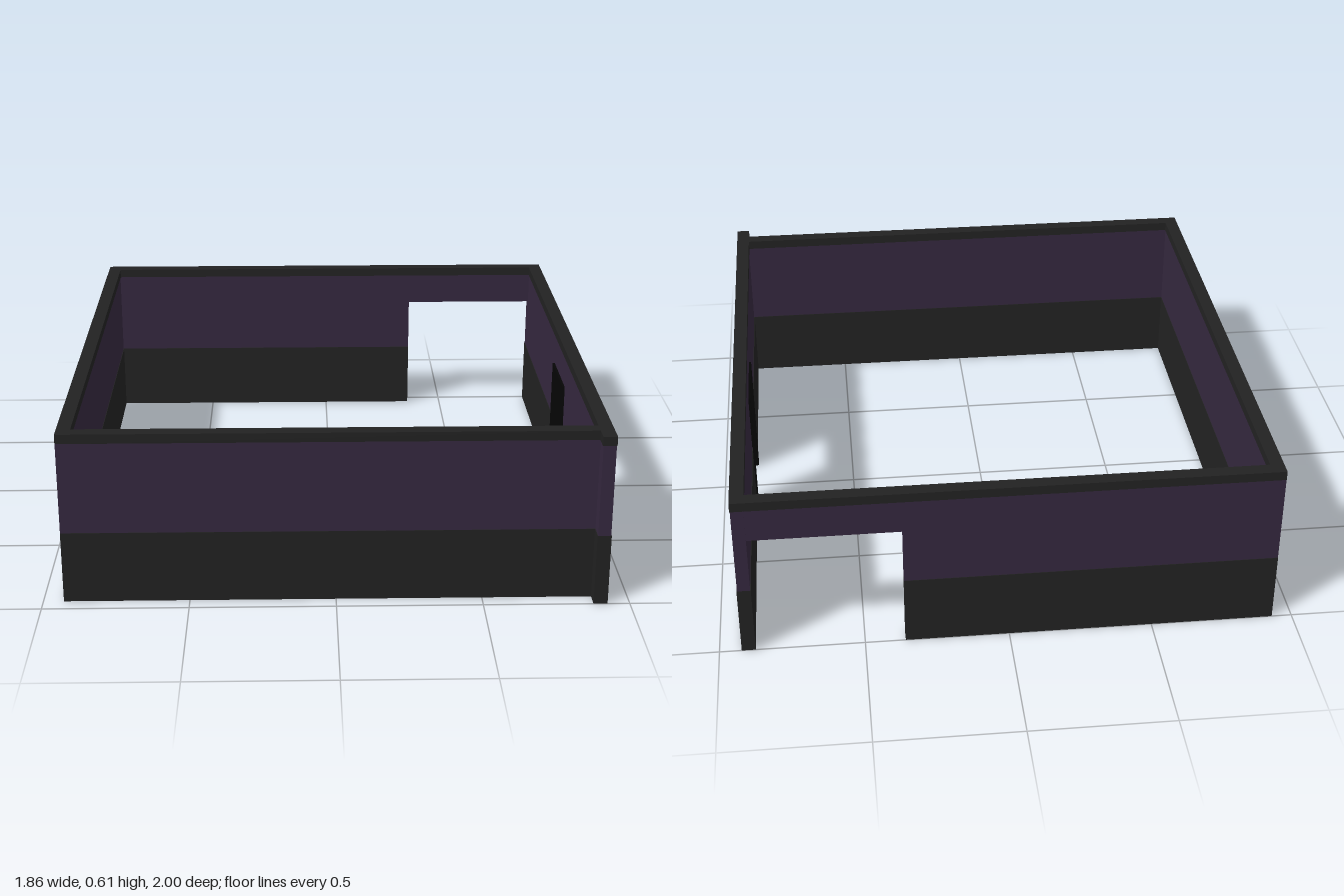
import * as THREE from 'three';

// Horizontal layers of every wall: dark base, purple panel, dark cap
const DARK = new THREE.MeshStandardMaterial({ color: 0x222222 });
const PURPLE = new THREE.MeshStandardMaterial({ color: 0x35283f });
const BLACK = new THREE.MeshStandardMaterial({ color: 0x060606 });
const LAYERS = [
  { name: 'Base', y0: 0, y1: 0.255, inset: 0, mat: DARK },
  { name: 'Panel', y0: 0.255, y1: 0.58, inset: 0.002, mat: PURPLE },
  { name: 'Cap', y0: 0.58, y1: 0.613, inset: 0, mat: DARK },
];

// Box given by its extents
function box(name, x0, x1, y0, y1, z0, z1, mat) {
  const mesh = new THREE.Mesh(new THREE.BoxGeometry(x1 - x0, y1 - y0, z1 - z0), mat);
  mesh.position.set((x0 + x1) / 2, (y0 + y1) / 2, (z0 + z1) / 2);
  mesh.name = name;
  return mesh;
}

// Wall running along an axis from a to b, with faces at t0 and t1 and an optional opening
function wall(name, axis, a, b, t0, t1, opening) {
  const group = new THREE.Group();
  group.name = name;
  const add = (layer, from, to, y0, y1) => {
    if (to - from < 0.001 || y1 - y0 < 0.001) return;
    const u = t0 + layer.inset, v = t1 - layer.inset;
    const part = name + layer.name;
    group.add(axis === 'x'
      ? box(part, from, to, y0, y1, u, v, layer.mat)
      : box(part, u, v, y0, y1, from, to, layer.mat));
  };
  for (const layer of LAYERS) {
    if (!opening || layer.y0 >= opening.top) {
      add(layer, a, b, layer.y0, layer.y1);
      continue;
    }
    add(layer, a, opening.from, layer.y0, layer.y1);
    add(layer, opening.to, b, layer.y0, layer.y1);
    add(layer, opening.from, opening.to, opening.top, layer.y1); // lintel
  }
  return group;
}

export function createModel() {
  const room = new THREE.Group();
  room.name = 'room';

  // Four walls; the left one runs past the front corner
  const door = { from: -0.115, to: 0.145, top: 0.467 };
  const gap = { from: 0.36, to: 0.878, top: 0.46 };
  room.add(wall('leftWall', 'z', -1, 1, 0.876, 0.924, door));
  room.add(wall('backWall', 'x', -0.93, 0.878, -1, -0.952, gap));
  room.add(wall('frontWall', 'x', -0.93, 0.878, 0.897, 0.945));
  room.add(wall('rightWall', 'z', -0.954, 0.899, -0.93, -0.882));

  // Thin black frame lining the doorway
  const frame = new THREE.Group();
  frame.name = 'doorFrame';
  const w = 0.01, x0 = 0.87, x1 = 0.93;
  const z0 = door.from - w / 2, z1 = door.to + w / 2, top = door.top + w / 2;
  frame.add(box('doorJambBack', x0, x1, 0, top, z0, z0 + w, BLACK));
  frame.add(box('doorJambFront', x0, x1, 0, top, z1 - w, z1, BLACK));
  frame.add(box('doorHead', x0, x1, top - w, top, z0 + w, z1 - w, BLACK));
  room.add(frame);

  return room;
}
